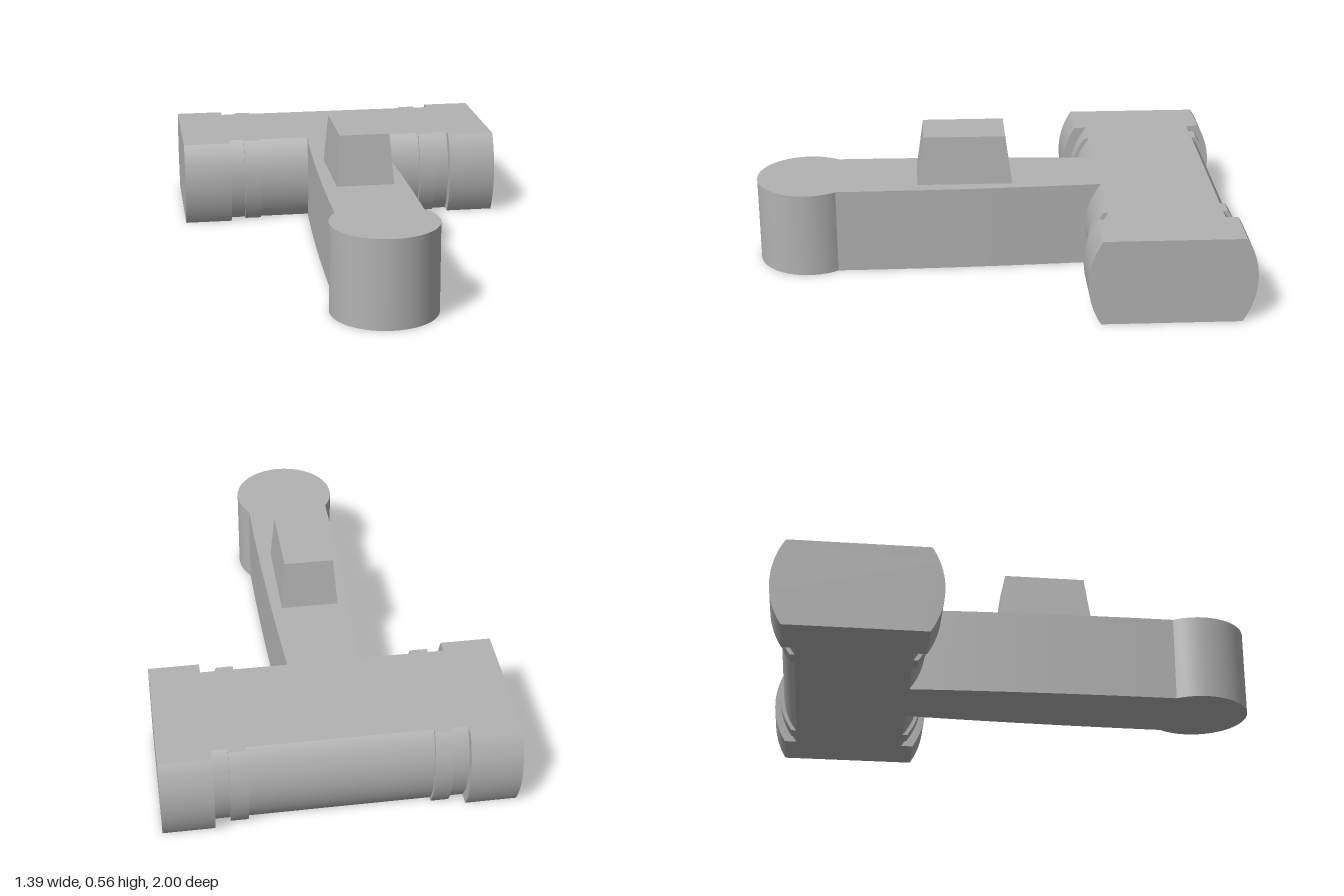
import * as THREE from 'three';
import { toCreasedNormals } from 'three/addons/utils/BufferGeometryUtils.js';

const HEIGHT = 0.36;
const MID = HEIGHT / 2;
const HEAD_Z = -0.667;

function extrude(shape, depth) {
  return new THREE.ExtrudeGeometry(shape, { depth, bevelEnabled: false, curveSegments: 40 });
}

// Round bar along x, cut flat at the top and bottom
function headSegment(x0, x1, r) {
  const a = Math.asin(MID / r);
  const shape = new THREE.Shape();
  shape.absarc(0, MID, r, -a, a, false);
  shape.absarc(0, MID, r, Math.PI - a, Math.PI + a, false);
  shape.closePath();
  const geo = extrude(shape, x1 - x0);
  geo.rotateY(-Math.PI / 2).translate(x1, 0, HEAD_Z);
  return toCreasedNormals(geo, 0.5);
}

// Tapering grip with a round pommel
function handleGeometry() {
  const r = 0.213, cz = 0.787, neck = 0.175;
  const a = Math.acos(neck / r);
  const neckZ = cz - r * Math.sin(a);
  const shape = new THREE.Shape();
  shape.moveTo(0.143, 0.442);
  shape.lineTo(-0.143, 0.442);
  shape.quadraticCurveTo(-0.176, -0.1, -neck, -neckZ);
  shape.absarc(0, -cz, r, Math.PI - a, 2 * Math.PI + a, false);
  shape.quadraticCurveTo(0.176, -0.1, 0.143, 0.442);
  const geo = extrude(shape, HEIGHT);
  geo.rotateX(-Math.PI / 2);
  return toCreasedNormals(geo, 0.5);
}

// Block whose top is smaller than its base
function blockGeometry(w, h, d, topW, topD) {
  const geo = new THREE.BoxGeometry(w, h, d).toNonIndexed();
  const p = geo.attributes.position;
  for (let i = 0; i < p.count; i++) {
    if (p.getY(i) > 0) {
      p.setX(i, p.getX(i) * topW / w);
      p.setZ(i, p.getZ(i) * topD / d);
    }
  }
  geo.computeVertexNormals();
  return geo;
}

export function createModel() {
  const model = new THREE.Group();
  model.name = 'hammer';
  const grey = new THREE.MeshStandardMaterial({ color: 0xb2b2b2 });
  grey.name = 'grey';

  const add = (name, geo, parent = model) => {
    const mesh = new THREE.Mesh(geo, grey);
    mesh.name = name;
    parent.add(mesh);
    return mesh;
  };

  // Head: wide ends, grooves, raised rings and a central barrel
  const head = new THREE.Group();
  head.name = 'head';
  model.add(head);
  add('barrel', headSegment(-0.36, 0.36, 0.292), head);
  const parts = [
    ['Ring', 0.36, 0.43, 0.308],
    ['Groove', 0.43, 0.493, 0.292],
    ['End', 0.493, 0.697, 0.333],
  ];
  for (const [name, x0, x1, r] of parts) {
    add('left' + name, headSegment(x0, x1, r), head);
    add('right' + name, headSegment(-x1, -x0, r), head);
  }

  add('handle', handleGeometry());

  // Raised block on the handle
  add('handleBlock', blockGeometry(0.235, 0.205, 0.395, 0.203, 0.338))
    .position.set(0, HEIGHT + 0.1025, 0.13);

  return model;
}
